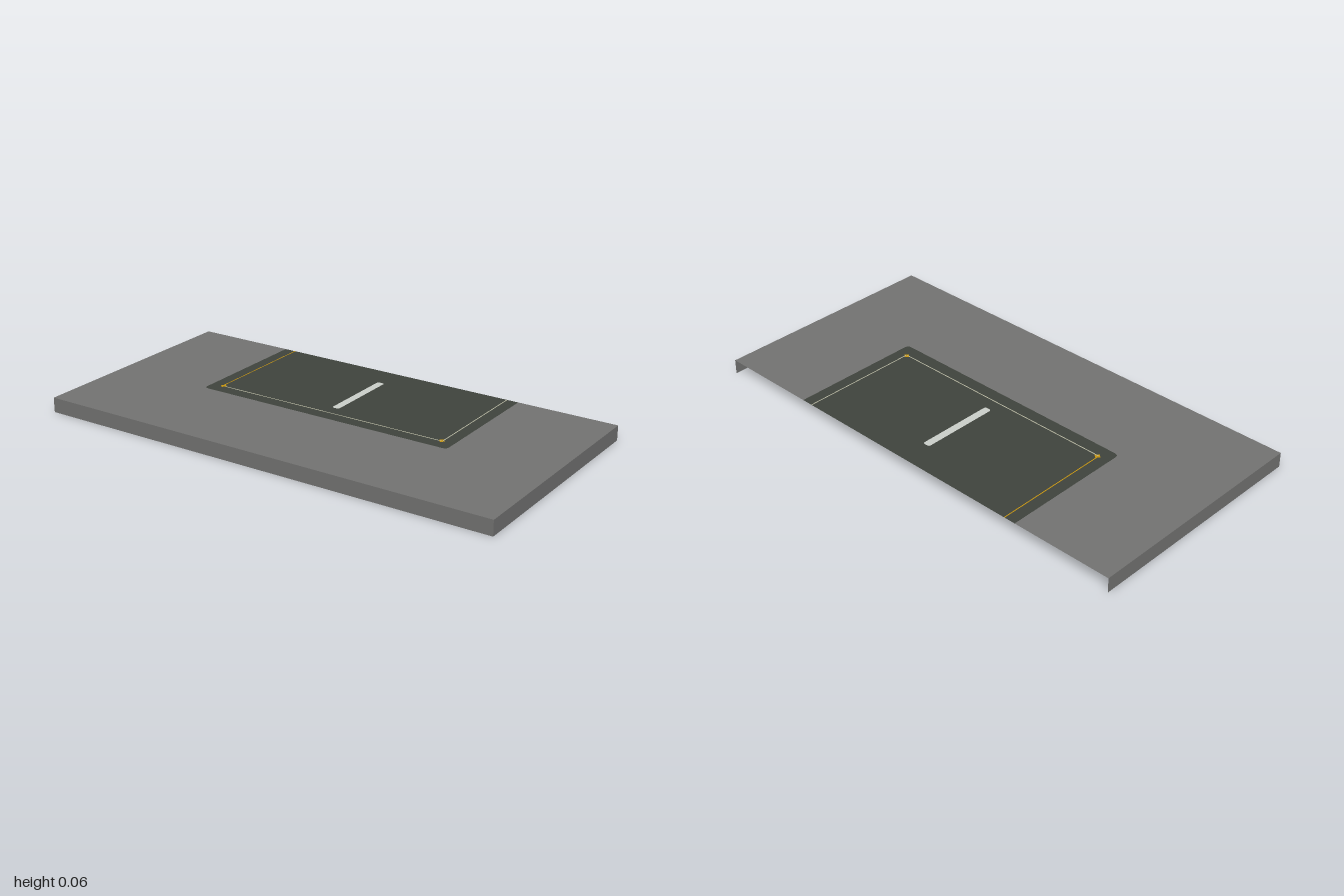
import * as THREE from 'three';

const H = 0.0625; // slab height
const BACK = -0.5, FRONT = 0.5;

function material(name, color) {
  const m = new THREE.MeshStandardMaterial({ color, side: THREE.DoubleSide });
  m.name = name;
  return m;
}

// Trace a half-width w, from z0 to z1, with front corners (and optionally back corners) rounded by r.
function trace(path, w, z0, z1, r, roundBack = false) {
  const b = roundBack ? r : 0;
  path.moveTo(-w + b, -z0);
  path.lineTo(w - b, -z0);
  path.quadraticCurveTo(w, -z0, w, -z0 - b);
  path.lineTo(w, -z1 + r);
  path.quadraticCurveTo(w, -z1, w - r, -z1);
  path.lineTo(-w + r, -z1);
  path.quadraticCurveTo(-w, -z1, -w, -z1 + r);
  path.lineTo(-w, -z0 - b);
  path.quadraticCurveTo(-w, -z0, -w + b, -z0);
  return path;
}

export function createModel() {
  const group = new THREE.Group();
  group.name = 'roadSlab';
  const asphalt = material('asphaltGrey', 0x737372);
  const dark = material('darkPanel', 0x40443d);
  const white = material('whiteMarking', 0xccd0cb);
  const gold = material('goldLine', 0xc8960f);
  const pale = material('paleLine', 0xbdbda6);

  const add = (name, geometry, mat, x = 0, y = 0, z = 0) => {
    const mesh = new THREE.Mesh(geometry, mat);
    mesh.name = name;
    mesh.position.set(x, y, z);
    group.add(mesh);
    return mesh;
  };
  const flat = (name, shape, mat) =>
    add(name, new THREE.ShapeGeometry(shape, 5).rotateX(-Math.PI / 2), mat, 0, H, 0);

  // Grey top surface, notched around the panel at the open back edge
  const [w, z, r] = [0.57, 0.07, 0.02];
  const top = new THREE.Shape();
  top.moveTo(-1, -FRONT);
  top.lineTo(1, -FRONT);
  top.lineTo(1, -BACK);
  top.lineTo(w, -BACK);
  top.lineTo(w, -z + r);
  top.quadraticCurveTo(w, -z, w - r, -z);
  top.lineTo(-w + r, -z);
  top.quadraticCurveTo(-w, -z, -w, -z + r);
  top.lineTo(-w, -BACK);
  top.lineTo(-1, -BACK);
  flat('topSurface', top, asphalt);

  // Dark panel with the centre dash set flush into it
  const dash = [0.016, -0.38, -0.04, 0.012, true];
  const panel = trace(new THREE.Shape(), w, BACK, z, r);
  panel.holes.push(trace(new THREE.Path(), ...dash));
  flat('darkPanel', panel, dark);
  flat('centreDash', trace(new THREE.Shape(), ...dash), white);

  // Skirt on three sides; the back and underside are open
  add('frontSkirt', new THREE.PlaneGeometry(2, H), asphalt, 0, H / 2, FRONT);
  for (const s of [-1, 1]) {
    const side = new THREE.PlaneGeometry(1, H).rotateY(s * Math.PI / 2);
    add(s > 0 ? 'leftSkirt' : 'rightSkirt', side, asphalt, s, H / 2, 0);
  }

  // Hairline border and small corner marks
  const strip = (name, sx, sz, mat, x, zc) =>
    add(name, new THREE.BoxGeometry(sx, 0.001, sz), mat, x, H, zc);
  strip('frontLine', 1.04, 0.004, pale, 0, 0.014);
  for (const s of [-1, 1]) {
    strip('sideLine', 0.004, 0.51, s < 0 ? gold : pale, s * 0.52, -0.245);
    strip('cornerMark', 0.02, 0.02, gold, s * 0.516, 0.011).rotation.y = Math.PI / 4;
  }
  return group;
}
